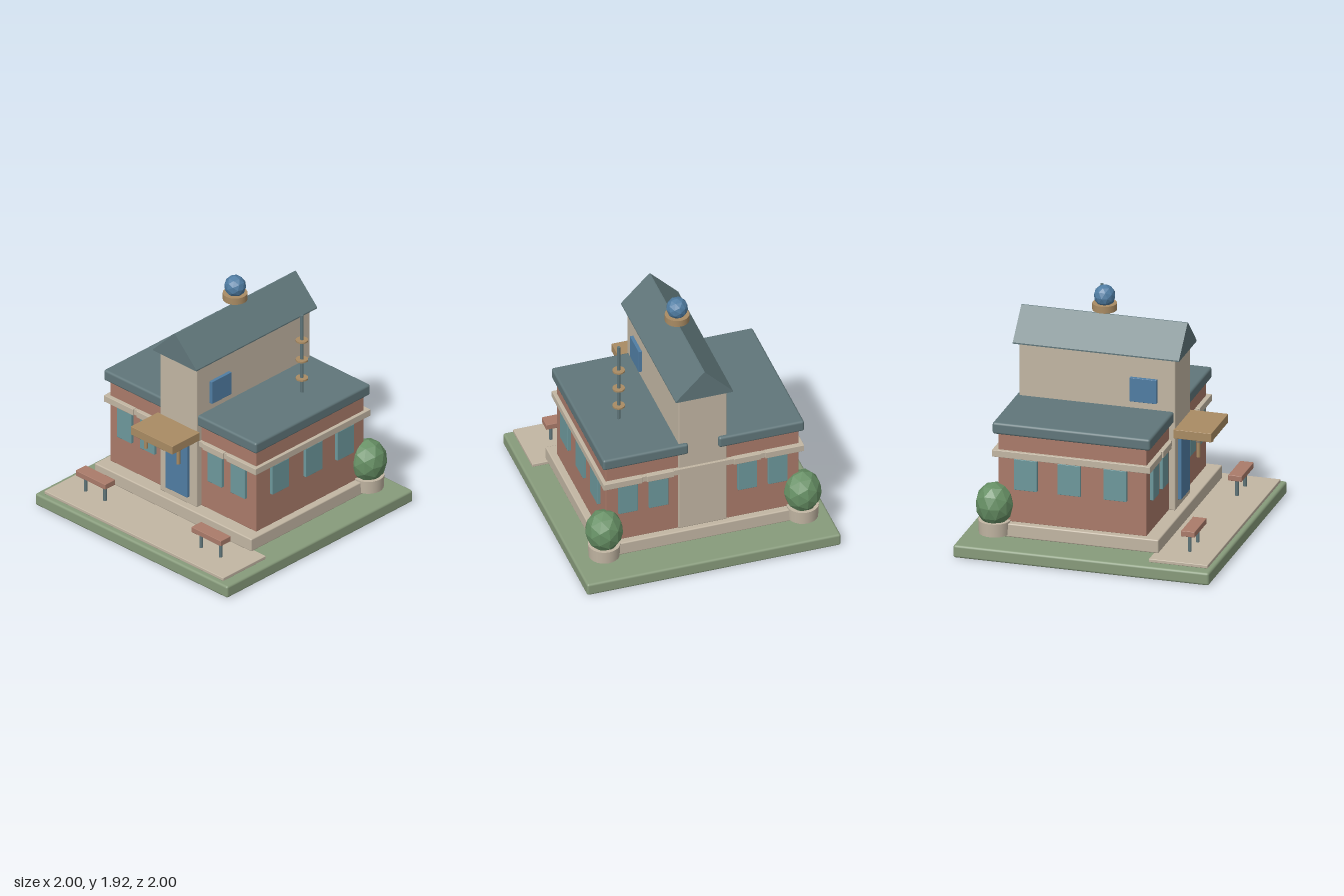
import * as THREE from 'three';
import { RoundedBoxGeometry } from 'three/addons/geometries/RoundedBoxGeometry.js';

function material(name, color, flatShading = false) {
  const m = new THREE.MeshStandardMaterial({ color, flatShading });
  m.name = name;
  return m;
}

export function createModel() {
  const model = new THREE.Group();
  model.name = 'townBuilding';

  const lawn = material('lawn green', 0x879b7b);
  const stone = material('pale stone', 0xc2b6a3);
  const brick = material('brick red', 0xaa7b6a);
  const slate = material('slate', 0x60767a);
  const blue = material('blue', 0x507da3, true);
  const glass = material('teal glass', 0x6d989c);
  const wood = material('tan wood', 0xa98b63);
  const leaf = material('leaf green', 0x668f64, true);

  function add(name, geometry, mat, x = 0, y = 0, z = 0, parent = model) {
    const mesh = new THREE.Mesh(geometry, mat);
    mesh.name = name;
    mesh.position.set(x, y, z);
    parent.add(mesh);
    return mesh;
  }

  // Box given by its limits, with an optional softened edge
  function box(name, mat, [x0, x1], [y0, y1], [z0, z1], edge = 0, parent = model) {
    const size = [x1 - x0, y1 - y0, z1 - z0];
    const g = edge ? new RoundedBoxGeometry(...size, 2, edge) : new THREE.BoxGeometry(...size);
    return add(name, g, mat, (x0 + x1) / 2, (y0 + y1) / 2, (z0 + z1) / 2, parent);
  }

  const span = (a, b, s) => (s > 0 ? [a, b] : [-b, -a]);

  // Ground, paving and plinth
  box('lawn', lawn, [-1, 1], [0, 0.1], [-1, 1], 0.018);
  box('paving', stone, [-0.93, 0.93], [0.11, 0.137], [0.51, 0.97], 0.005);
  box('plinth', stone, [-0.815, 0.815], [0.14, 0.247], [-0.77, 0.55], 0.01);

  // Main body and central tower
  box('walls', brick, [-0.76, 0.76], [0.245, 0.95], [-0.717, 0.44], 0.005);
  box('tower', stone, [-0.19, 0.19], [0.245, 1.45], [-0.728, 0.49], 0.008);

  // Trim course with raised lengths on the front and back
  box('trimBand', stone, [-0.785, 0.785], [0.765, 0.81], [-0.75, 0.465]);
  for (const s of [1, -1]) {
    box('sideTrim', stone, span(0.76, 0.79, s), [0.76, 0.815], [-0.76, 0.475], 0.004);
    for (const [a, b] of [[0.235, 0.45], [0.485, 0.79]]) {
      box('frontTrim', stone, span(a, b, s), [0.76, 0.815], [0.44, 0.477], 0.004);
      box('backTrim', stone, span(a, b, s), [0.76, 0.815], [-0.76, -0.717], 0.004);
    }
  }

  // Flat roof halves, either side of the tower
  for (const s of [1, -1]) {
    box('flatRoof', slate, span(0.12, 0.793, s), [0.943, 1.035], [-0.757, 0.477], 0.018);
  }

  // Gabled tower roof
  const gable = new THREE.Shape([[-0.225, 1.455], [0.225, 1.455], [0.225, 1.465],
    [0.005, 1.688], [-0.005, 1.688], [-0.225, 1.465]].map(p => new THREE.Vector2(...p)));
  add('gableRoof', new THREE.ExtrudeGeometry(gable, { depth: 1.3, bevelEnabled: false }), slate, 0, 0, -0.77);

  // Rooftop globe on its round stand
  add('globeStand', new THREE.CylinderGeometry(0.093, 0.093, 0.054, 24), wood, 0, 1.748, -0.12);
  add('globe', new THREE.IcosahedronGeometry(0.083, 1), blue, 0, 1.832, -0.12).scale.y = 1.04;

  // Aerial with rings
  add('aerialPole', new THREE.CylinderGeometry(0.013, 0.013, 0.665, 12), slate, 0.52, 1.382, -0.3);
  for (const y of [1.17, 1.33, 1.497]) {
    add('aerialRing', new THREE.CylinderGeometry(0.047, 0.047, 0.013, 16), wood, 0.52, y, -0.3);
  }

  // Door, canopy and hanging lamps
  box('door', blue, [-0.115, 0.115], [0.308, 0.815], [0.48, 0.515], 0.004);
  box('canopy', wood, [-0.217, 0.217], [0.835, 0.905], [0.485, 0.78], 0.003);
  for (const s of [1, -1]) {
    add('lampCap', new THREE.CylinderGeometry(0.034, 0.014, 0.03, 14), stone, s * 0.168, 0.82, 0.665);
    add('lampStem', new THREE.CylinderGeometry(0.015, 0.015, 0.12, 12), wood, s * 0.168, 0.75, 0.665);
  }

  // Windows on every side
  for (const s of [1, -1]) {
    box('towerWindow', blue, span(0.18, 0.215, s), [1.092, 1.282], [0.14, 0.35], 0.003);
    for (const [a, b] of [[0.275, 0.425], [0.515, 0.665]]) {
      box('frontWindow', glass, span(a, b, s), [0.5, 0.76], [0.43, 0.465], 0.003);
      box('backWindow', glass, span(a, b, s), [0.5, 0.76], [-0.742, -0.71], 0.003);
    }
    for (const z of [0.2, -0.16, -0.5]) {
      box('sideWindow', glass, span(0.75, 0.785, s), [0.512, 0.757], [z - 0.09, z + 0.09], 0.003);
    }
  }

  // Benches and potted bushes, mirrored
  for (const s of [1, -1]) {
    const bench = new THREE.Group();
    bench.name = 'bench';
    model.add(bench);
    box('benchSeat', brick, span(0.447, 0.755, s), [0.275, 0.32], [0.708, 0.815], 0.004, bench);
    for (const x of [0.5, 0.702]) {
      add('benchLeg', new THREE.CylinderGeometry(0.014, 0.014, 0.135, 12), slate, s * x, 0.21, 0.762, bench);
    }

    const bush = new THREE.Group();
    bush.name = 'pottedBush';
    bush.position.set(s * 0.782, 0, -0.742);
    model.add(bush);
    add('pot', new THREE.CylinderGeometry(0.122, 0.117, 0.105, 24), stone, 0, 0.207, 0, bush);
    add('foliage', new THREE.IcosahedronGeometry(0.145, 1), leaf, 0, 0.383, 0, bush).scale.y = 1.2;
  }

  return model;
}
